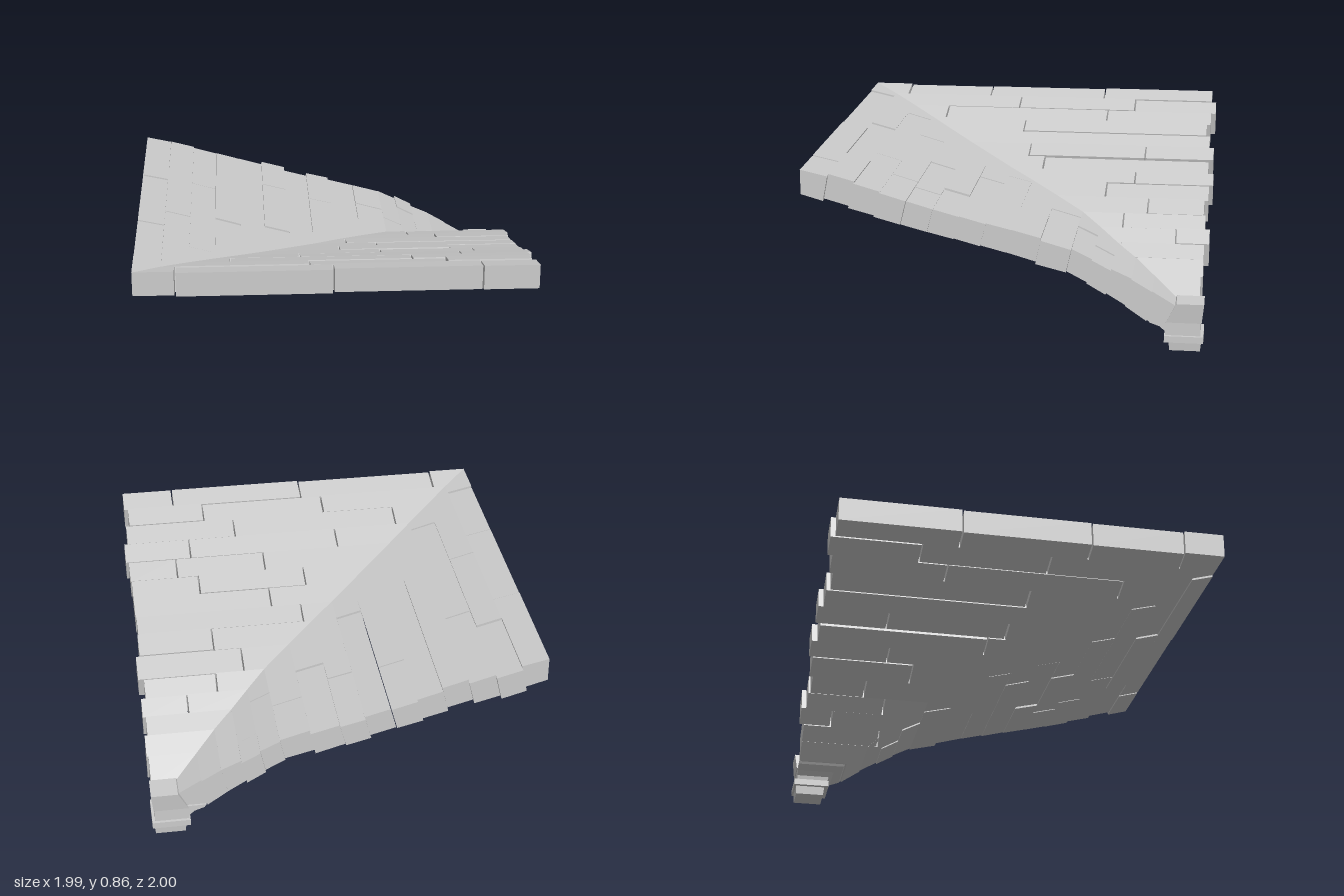
import * as THREE from 'three';

const stone = new THREE.MeshStandardMaterial({ color: 0xcccccc, flatShading: true });

// Course boundaries [distance along slope axis, height], crown to springing
const outer = [[1, .862], [.865, .832], [.735, .797], [.605, .76], [.475, .722], [.345, .685],
  [.215, .65], [.085, .615], [-.04, .585], [-.185, .547], [-.335, .505], [-.435, .457],
  [-.53, .407], [-.63, .362], [-.73, .303], [-.86, .225]];
const inner = [[1, .738], [.89, .707], [.765, .672], [.635, .638], [.505, .603], [.375, .569],
  [.245, .537], [.115, .502], [-.01, .47], [-.16, .427], [-.31, .39], [-.41, .338],
  [-.505, .283], [-.6, .225], [-.705, .152], [-.86, .146]];

// Joint positions along each course; the last value is the free end
const rightCourses = [[-.795, -.03, .695, .97], [-.14, .535, .95], [-.53, .375, .97], [-.18, .635, .99],
  [.24, .72, .975], [.035, .61, .97], [.24, .97], [.085, .965], [.58, .97], [.44, .99],
  [.59, .96], [.75, .985], [.97], [.985], [.975]];
const backCourses = [[-.79, -.31, .35, .97], [-.125, .535, .995], [-.53, .385, .97], [-.07, .95],
  [.97], [-.01, .625, .995], [.08, .97], [.585, 1], [.44, .98], [.67, .96],
  [.55, .97], [.825, .995], [.55, .97], [.97], [.96]];

// Six-sided stone from two four-cornered ends
function solid(start, end, flip = false) {
  const quads = [[...start], [...end].reverse()];
  for (let i = 0; i < 4; i++) {
    const j = (i + 1) % 4;
    quads.push([start[i], end[i], end[j], start[j]]);
  }
  const pos = [];
  for (const q of quads) {
    const [a, b, c, d] = flip ? q.reverse() : q;
    pos.push(...a, ...b, ...c, ...a, ...c, ...d);
  }
  const geo = new THREE.BufferGeometry();
  geo.setAttribute('position', new THREE.Float32BufferAttribute(pos, 3));
  geo.computeVertexNormals();
  return new THREE.Mesh(geo, stone);
}

// One triangular web of the vault, its courses mitred along the diagonal groin
function vaultWeb(name, courses, mirrored, seed) {
  const web = new THREE.Group();
  web.name = name;
  const rand = () => (seed = (seed * 16807) % 2147483647) / 2147483647;
  const place = (w, u, y) => mirrored ? [-u, y, -w] : [w, y, u];
  courses.forEach((joints, i) => {
    const section = [outer[i], outer[i + 1], inner[i + 1], inner[i]];
    joints.forEach((stop, k) => {
      const lift = k === 0 ? 0 : (rand() - .5) * .014;
      const last = k === joints.length - 1;
      const start = section.map(([u, y]) => place(k ? joints[k - 1] + .004 : -u, u, y + lift));
      // the corner springing stone may be shorter than its mitre
      const end = section.map(([u, y]) => place(last ? stop : stop - .004, u, y + lift));
      const block = solid(start, end, mirrored);
      block.name = 'courseStone';
      web.add(block);
    });
  });
  return web;
}

// Corner support: stacked square tiers [y, inner edge, outer edge]
function springer() {
  const group = new THREE.Group();
  group.name = 'springer';
  const ring = ([y, a, b]) => [[a, y, -a], [b, y, -a], [b, y, -b], [a, y, -b]];
  const tiers = {
    foot: [[0, .82, .97], [.05, .815, .975]],
    moulding: [[.045, .793, .985], [.078, .793, .985]],
    flare: [[.078, .8, .97], [.1, .795, .97], [.122, .77, .97], [.14, .72, .97], [.155, .71, .97]],
    cornerStone: [[.145, .8, .975], [.245, .85, .985]],
  };
  for (const [name, rings] of Object.entries(tiers))
    for (let i = 0; i + 1 < rings.length; i++) {
      const tier = solid(ring(rings[i]), ring(rings[i + 1]), true);
      tier.name = name;
      group.add(tier);
    }
  return group;
}

export function createModel() {
  const model = new THREE.Group();
  model.name = 'groinVaultQuarter';
  model.add(vaultWeb('rightWeb', rightCourses, false, 11));
  model.add(vaultWeb('backWeb', backCourses, true, 47));
  model.add(springer());
  return model;
}
